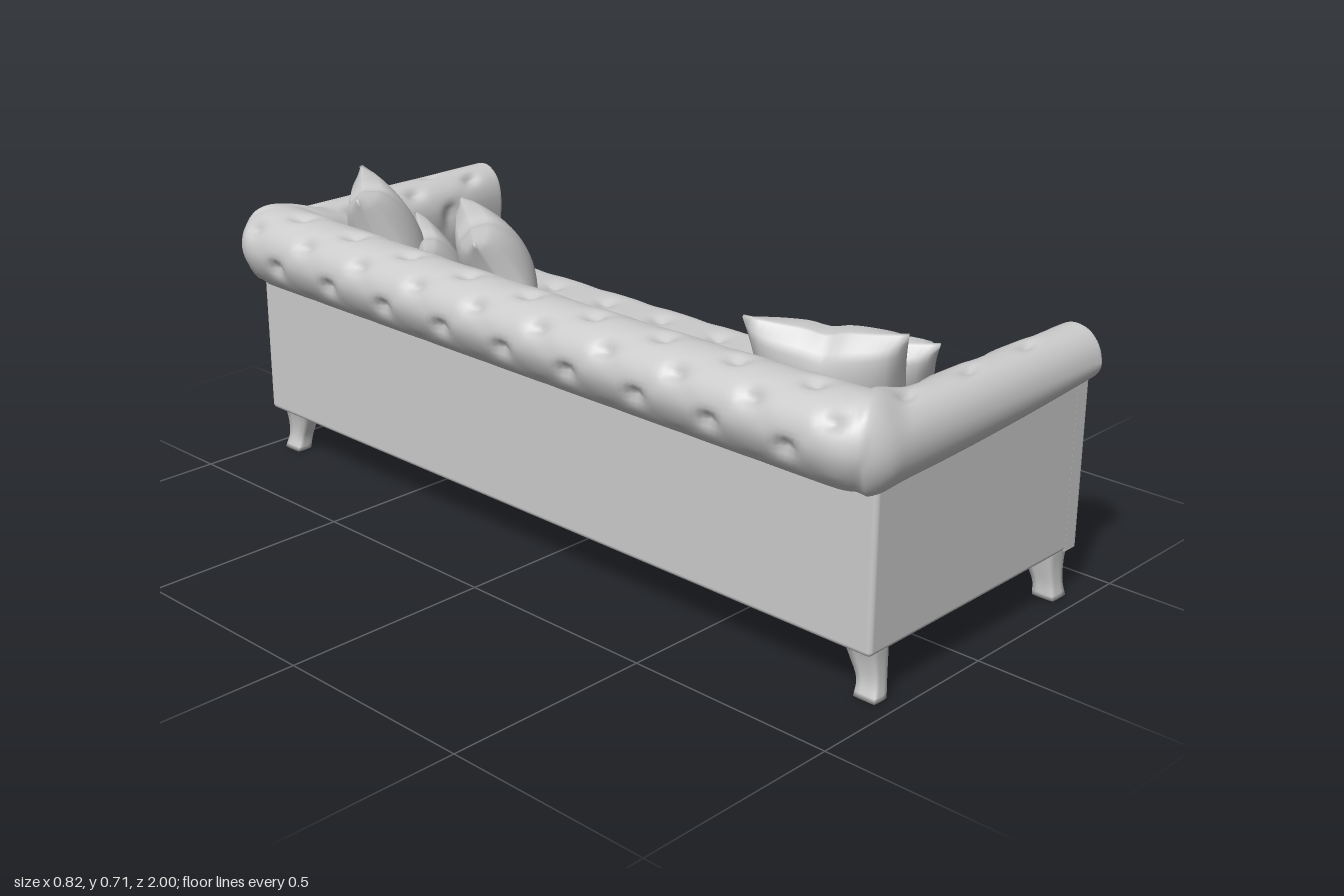
import * as THREE from 'three';
import { mergeVertices } from 'three/addons/utils/BufferGeometryUtils.js';
import { RoundedBoxGeometry } from 'three/addons/geometries/RoundedBoxGeometry.js';

const mat = new THREE.MeshStandardMaterial({ color: 0xcccccc, roughness: 0.8 });
const matDouble = new THREE.MeshStandardMaterial({ color: 0xcccccc, roughness: 0.8, side: THREE.DoubleSide });
const { lerp, smoothstep, clamp } = THREE.MathUtils;

function add(parent, name, geometry, material = mat) {
  const m = new THREE.Mesh(geometry, material);
  m.name = name;
  parent.add(m);
  return m;
}

function boxBetween(parent, name, x0, x1, y0, y1, z0, z1, r = 0.012) {
  const m = add(parent, name, new RoundedBoxGeometry(x1 - x0, y1 - y0, z1 - z0, 3, r));
  m.position.set((x0 + x1) / 2, (y0 + y1) / 2, (z0 + z1) / 2);
}

// Move every vertex of a geometry by a rule, then weld and smooth it
function deform(geo, rule) {
  geo.deleteAttribute('uv');
  geo.deleteAttribute('normal');
  geo = mergeVertices(geo, 1e-5);
  const p = geo.attributes.position, v = new THREE.Vector3();
  for (let i = 0; i < p.count; i++) {
    rule(v.fromBufferAttribute(p, i));
    p.setXYZ(i, v.x, v.y, v.z);
  }
  geo.computeVertexNormals();
  return geo;
}

// Depth of diamond button tufting at surface coordinates a, b
function tuft(a, b, pa, pb, depth) {
  const p = a / pa, q = b / pb;
  const s = p + q, t = p - q;
  const ds = s - Math.round(s), dt = t - Math.round(t);
  const da = (ds + dt) / 2 * pa, db = (ds - dt) / 2 * pb;
  const button = Math.exp(-(da * da + db * db) / 0.0006);
  const crease = Math.exp(-(ds * ds) / 0.015) + Math.exp(-(dt * dt) / 0.015);
  return -depth * (button + 0.06 * crease);
}

// Cross-sections from outer underside, over the roll, down the inner face
const sample = (pts, n) => new THREE.CatmullRomCurve3(pts.map(([u, y]) => new THREE.Vector3(u, y, 0))).getPoints(n);
const N = 44;
const backProfile = sample([[0.315, 0.46], [0.36, 0.47], [0.395, 0.51], [0.412, 0.56], [0.4, 0.61], [0.362, 0.645],
  [0.31, 0.657], [0.26, 0.647], [0.215, 0.612], [0.194, 0.56], [0.184, 0.45], [0.18, 0.34]], N);
const armProfile = sample([[0.95, 0.468], [0.97, 0.475], [0.992, 0.505], [1.0, 0.55], [0.99, 0.59], [0.965, 0.618],
  [0.93, 0.628], [0.89, 0.62], [0.855, 0.595], [0.838, 0.55], [0.848, 0.45], [0.87, 0.34]], N);
const FRONT = 0.385;

// Point on an arm: k runs from the corner (0) to the front (1)
function armPoint(k, j, side) {
  const A = armProfile[j], B = backProfile[j], e = k * k;
  let z = A.x, y = lerp(B.y, A.y, smoothstep(k, 0, 0.18));
  if (z < 0.93) z += (0.93 - z) * 0.3 * e;
  if (j < N / 2 && y < 0.56) y += (0.56 - y) * 0.42 * e;
  return new THREE.Vector3(lerp(-B.x, FRONT, k), y, side * z);
}

function backPoint(k, j) {
  const B = backProfile[j];
  const sag = B.y > 0.5 ? 0.012 * (1 - k * k) * smoothstep(B.y, 0.5, 0.65) : 0;
  return new THREE.Vector3(-B.x, B.y - sag, k * armProfile[j].x);
}

// One continuous tufted roll around both arms and the back, mitred at the corners
function rollGeometry() {
  const rows = [];
  const ARM = 50, BACK = 130;
  for (let i = 0; i <= ARM; i++) rows.push([1, 1 - i / ARM]);
  for (let i = 1; i < BACK; i++) rows.push([0, 1 - 2 * i / BACK]);
  for (let i = 0; i <= ARM; i++) rows.push([-1, i / ARM]);
  const pos = [], idx = [], depth = [], W = N + 1;
  rows.forEach(([side, k], i) => {
    for (let j = 0; j <= N; j++) {
      const v = side ? armPoint(k, j, side) : backPoint(k, j);
      // Round the outer corners
      const dx = -0.3 - v.x, dz = Math.abs(v.z) - 0.89;
      if (dx > 0 && dz > 0) {
        const f = Math.max(dx, dz) / Math.hypot(dx, dz);
        v.x = -0.3 - dx * f;
        v.z = Math.sign(v.z) * (0.89 + dz * f);
      }
      pos.push(v.x, v.y, v.z);
      const t = j / N;
      const ends = side
        ? smoothstep(k, 0, 0.12) * smoothstep(1 - k, 0.02, 0.12) * smoothstep(t, 0.42, 0.56) * 0.8
        : smoothstep(1 - Math.abs(k), 0, 0.08) * smoothstep(t, 0.08, 0.2);
      depth.push(ends * tuft(side ? v.x : v.z, t * 0.75 + 0.04, 0.2, 0.22, 0.018));
      if (i < rows.length - 1 && j < N) {
        const a = i * W + j, c = a + W;
        idx.push(a, a + 1, c, a + 1, c + 1, c);
      }
    }
  });
  const g = new THREE.BufferGeometry();
  g.setAttribute('position', new THREE.Float32BufferAttribute(pos, 3));
  g.setIndex(idx);
  g.computeVertexNormals();
  const p = g.attributes.position, n = g.attributes.normal;
  for (let i = 0; i < p.count; i++) {
    const d = depth[i];
    p.setXYZ(i, p.getX(i) + n.getX(i) * d, p.getY(i) + n.getY(i) * d, p.getZ(i) + n.getZ(i) * d);
  }
  g.computeVertexNormals();
  return g;
}

// Long tufted seat with soft rounded edges
function seatGeometry() {
  const h = new THREE.Vector3(0.305, 0.077, 0.878), r = 0.045;
  const inner = h.clone().subScalar(r), c = new THREE.Vector3();
  return deform(new THREE.BoxGeometry(h.x * 2, h.y * 2, h.z * 2, 44, 12, 120), v => {
    c.copy(v).clamp(inner.clone().negate(), inner);
    v.sub(c);
    if (v.lengthSq() > 1e-9) v.setLength(Math.min(r, Math.max(Math.abs(v.x), Math.abs(v.y), Math.abs(v.z))));
    v.add(c);
    if (v.y > 0) {
      const top = smoothstep(v.y, 0.02, h.y);
      v.y += top * (0.003 + tuft(v.z, v.x + 0.02, 0.19, 0.22, 0.016));
    }
    if (v.x > 0.2) v.x += 0.006 * clamp(-v.y / h.y, -1, 1);
  });
}

// Pillow with drawn-out corners and a soft belly
function pillowGeometry(w, h, t) {
  return deform(new THREE.BoxGeometry(2, 2, 2, 20, 20, 2), v => {
    const { x: u, y: q, z } = v;
    const belly = Math.pow((1 - u * u) * (1 - q * q), 0.48);
    const notch = q > 0 ? 0.012 * q * Math.exp(-u * u / 0.03) : 0;
    v.set(w / 2 * u * (1 - 0.09 * (1 - q * q)),
      h / 2 * q * (1 - 0.08 * (1 - u * u)) - notch,
      z * (0.004 + t / 2 * belly));
  });
}

// Curved tapering leg; each section is [y, x, z, width, depth]
function legGeometry(sections) {
  const at = i => new THREE.CatmullRomCurve3(sections.map(s => new THREE.Vector3(s[0], s[i], s[i + 1])));
  const centre = at(1), size = at(3);
  return deform(new THREE.CylinderGeometry(0.5, 0.5, 1, 16, 10), v => {
    const t = clamp(0.5 - v.y, 0, 1), c = centre.getPoint(t), s = size.getPoint(t);
    // Square the section off with soft corners
    const f = 0.5 / Math.max(Math.abs(v.x), Math.abs(v.z), 0.37);
    v.set(c.y + v.x * f * s.y, c.x, c.z + v.z * f * s.z);
  });
}

function extrudeAcross(shape, x, depth, bevel, bevelOffset = 0) {
  const g = new THREE.ExtrudeGeometry(shape, { depth, bevelSize: bevel, bevelThickness: bevel, bevelOffset, bevelSegments: 3 });
  return g.rotateY(Math.PI / 2).translate(x, 0, 0);
}

export function createModel() {
  const sofa = new THREE.Group();
  sofa.name = 'sofa';

  // Frame
  boxBetween(sofa, 'baseRail', -0.325, 0.39, 0.115, 0.228, -0.96, 0.96);
  boxBetween(sofa, 'backPanel', -0.325, -0.22, 0.116, 0.52, -0.964, 0.964);
  add(sofa, 'tuftedRoll', rollGeometry(), matDouble);

  // Seat
  add(sofa, 'seatCushion', seatGeometry()).position.set(0.1, 0.306, 0);

  for (const side of [1, -1]) {
    const arm = new THREE.Group();
    arm.name = side > 0 ? 'leftArm' : 'rightArm';
    sofa.add(arm);
    boxBetween(arm, 'armPanel', -0.325, 0.37, 0.115, 0.54, side > 0 ? 0.895 : -0.965, side > 0 ? 0.965 : -0.895);

    // Softly rounded end of the roll
    const rim = [];
    for (let j = 0; j <= N; j++) {
      const v = armPoint(1, j, side);
      rim.push(new THREE.Vector2(-v.z, v.y));
    }
    add(arm, 'rollEnd', extrudeAcross(new THREE.Shape(rim), FRONT - 0.02, 0.02, 0.01, -0.01));

    // Scroll-topped front post
    const post = new THREE.Shape();
    const r = 0.034, cz = 0.933, cy = 0.558;
    post.moveTo(-side * 0.957, 0.123);
    post.lineTo(-side * 0.957, 0.52);
    for (let i = 0; i <= 20; i++) {
      const a = -0.84 + (Math.PI + 1.68) * i / 20;
      post.lineTo(-side * (cz + r * Math.cos(a)), cy + r * Math.sin(a));
    }
    post.lineTo(-side * 0.909, 0.52);
    post.lineTo(-side * 0.909, 0.123);
    add(arm, 'frontPost', extrudeAcross(post, 0.36, 0.035, 0.008));

    // Legs
    add(sofa, 'frontLeg', legGeometry([[0.12, 0.353, side * 0.913, 0.068, 0.082], [0.08, 0.354, side * 0.918, 0.056, 0.068],
      [0.035, 0.357, side * 0.928, 0.046, 0.052], [0, 0.36, side * 0.932, 0.052, 0.056]]));
    add(sofa, 'rearLeg', legGeometry([[0.12, -0.272, side * 0.913, 0.052, 0.082], [0.08, -0.266, side * 0.918, 0.044, 0.068],
      [0.035, -0.266, side * 0.928, 0.038, 0.052], [0, -0.275, side * 0.932, 0.042, 0.056]]));
  }

  // Pillows: centre, size, facing direction on the floor plane, backward lean
  const pillows = [
    ['leftBackPillow', [-0.115, 0.55, 0.68], [0.34, 0.35, 0.17], [0.91, -0.41], 0.42],
    ['leftFrontPillow', [0.075, 0.495, 0.585], [0.385, 0.27, 0.16], [0.88, -0.47], 0.5],
    ['rightBackPillow', [-0.105, 0.55, -0.735], [0.32, 0.35, 0.16], [0.76, 0.65], 0.4],
    ['rightMiddlePillow', [-0.01, 0.48, -0.64], [0.36, 0.24, 0.09], [0.8, 0.6], 0.5],
    ['rightFrontPillow', [0.095, 0.495, -0.565], [0.42, 0.27, 0.16], [0.8, 0.6], 0.55],
  ];
  for (const [name, centre, size, [fx, fz], lean] of pillows) {
    const p = add(sofa, name, pillowGeometry(...size));
    p.position.set(...centre);
    p.rotation.set(-lean, Math.atan2(fx, fz), 0, 'YXZ');
  }
  return sofa;
}
